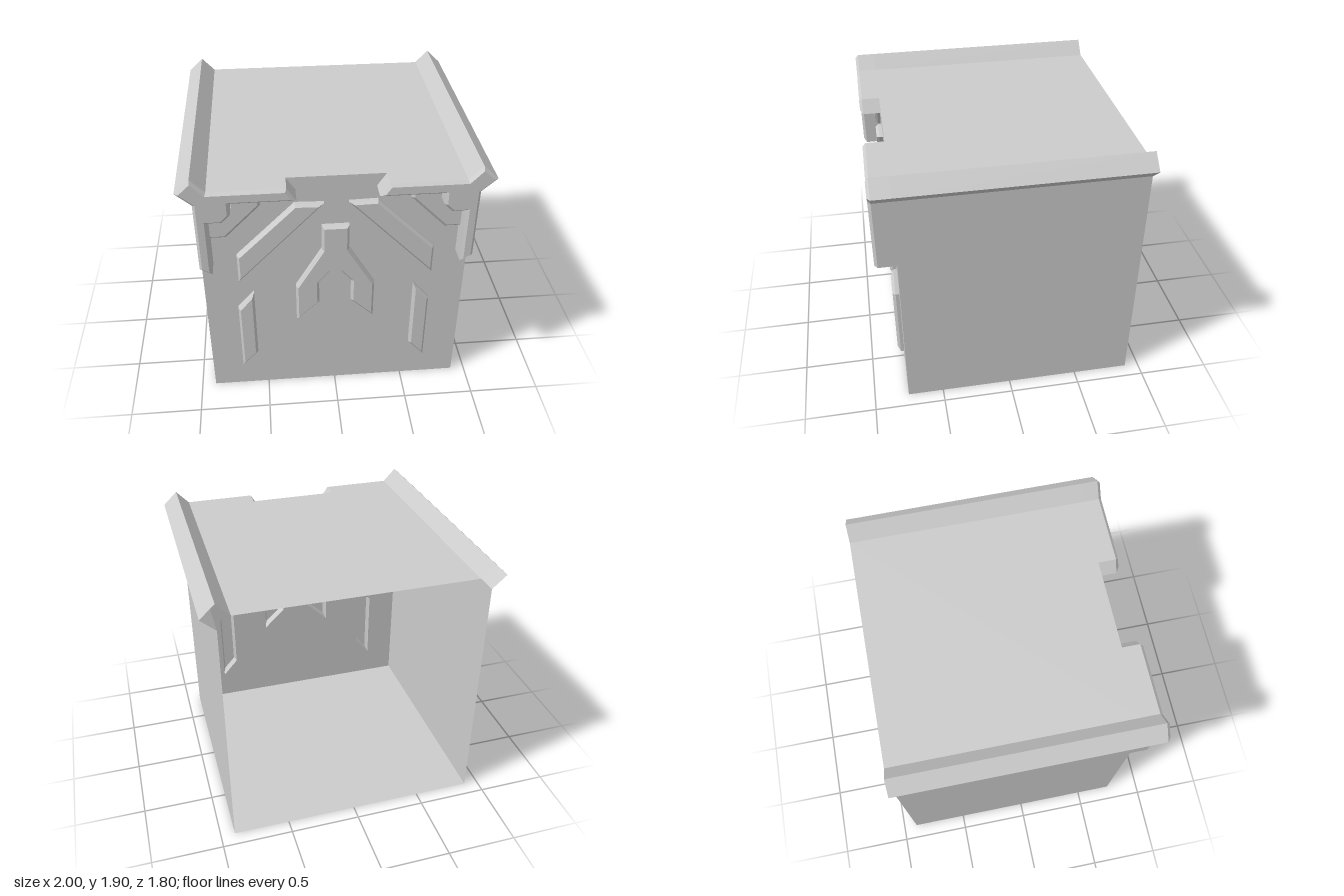
import * as THREE from 'three';

const material = new THREE.MeshStandardMaterial({ color: 0xcccccc, flatShading: true, side: THREE.DoubleSide });
const WALL = 0.755, BACK = -0.9;

const mirrored = (pts, cx = 0) => pts.map(([x, y]) => [2 * cx - x, y]).reverse();

// Points in counter-clockwise order
function ccw(pts) {
  const v = pts.map(([x, y]) => new THREE.Vector2(x, y));
  return THREE.ShapeUtils.isClockWise(v) ? v.reverse() : v;
}

// Mitred inward offset of a counter-clockwise outline
function inset(v, d) {
  const n = v.length;
  return v.map((p, i) => {
    const a = p.clone().sub(v[(i + n - 1) % n]).normalize();
    const b = v[(i + 1) % n].clone().sub(p).normalize();
    const na = new THREE.Vector2(-a.y, a.x), nb = new THREE.Vector2(-b.y, b.x);
    return na.clone().add(nb).multiplyScalar(d / (1 + na.dot(nb))).add(p);
  });
}

// Side faces joining a series of matching outlines, each { pts, z }
function loft(rings, closed = true) {
  const pos = [];
  for (let r = 0; r + 1 < rings.length; r++) {
    const A = rings[r], B = rings[r + 1], n = A.pts.length;
    for (let i = 0; i < (closed ? n : n - 1); i++) {
      const j = (i + 1) % n;
      const a = [A.pts[i].x, A.pts[i].y, A.z], b = [A.pts[j].x, A.pts[j].y, A.z];
      const c = [B.pts[j].x, B.pts[j].y, B.z], d = [B.pts[i].x, B.pts[i].y, B.z];
      pos.push(...a, ...b, ...c, ...a, ...c, ...d);
    }
  }
  const g = new THREE.BufferGeometry();
  g.setAttribute('position', new THREE.Float32BufferAttribute(pos, 3));
  g.computeVertexNormals();
  return g;
}

function addMesh(parent, name, geometry) {
  const m = new THREE.Mesh(geometry, material);
  m.name = name;
  parent.add(m);
  return m;
}

// Hollow raised panel: straight sides, bevelled rim, flat face
function addPanel(parent, name, outline, shoulder, face, bevel) {
  const g = new THREE.Group();
  g.name = name;
  const base = ccw(outline), top = inset(base, bevel);
  addMesh(g, name + 'Rim', loft([{ pts: base, z: WALL }, { pts: base, z: shoulder }, { pts: top, z: face }]));
  addMesh(g, name + 'Face', new THREE.ShapeGeometry(new THREE.Shape(top))).position.z = face;
  parent.add(g);
}

export function createModel() {
  const model = new THREE.Group();
  model.name = 'openBackedCrate';

  // Floor, sides and roof as thin sheets
  const strip = pts => {
    const v = pts.map(([x, y]) => new THREE.Vector2(x, y));
    return loft([{ pts: v, z: BACK }, { pts: v, z: WALL }], false);
  };
  addMesh(model, 'floorAndSides', strip([[-0.9, 1.72], [-0.9, 0], [0.9, 0], [0.9, 1.72]]));
  addMesh(model, 'roof', strip([[0.81, 1.81], [-0.81, 1.81]]));

  // Right-hand outlines, mirrored for the left
  const horn = [[-0.9, 1.72], [-1, 1.81], [-0.9, 1.905], [-0.81, 1.81]];
  const bracket = [[-0.26, 1.72], [-0.675, 1.72], [-0.675, 1.635], [-0.73, 1.58], [-0.82, 1.58],
    [-0.82, 1.17], [-0.9, 1.22], ...horn, [-0.32, 1.81]];
  const cornerPlate = [[-0.84, 1.39], [-0.72, 1.39], [-0.485, 1.63], [-0.485, 1.74],
    [-0.69, 1.74], [-0.69, 1.64], [-0.735, 1.595], [-0.84, 1.595]];
  const diagonal = [[-0.662, 1.01], [-0.662, 1.23], [-0.27, 1.625], [-0.08, 1.62]];
  const slat = [[-0.68, 0.21], [-0.68, 0.77], [-0.565, 0.905], [-0.565, 0.34]];

  // Central forked panel
  const half = [[-0.095, 1.44], [-0.095, 1.25], [-0.275, 0.94], [-0.275, 0.635],
    [-0.115, 0.79], [-0.115, 0.97], [-0.04, 1.06]];
  const fork = [...half, ...mirrored(half, -0.004)];

  const panels = [['forkPanel', fork]];
  for (const side of ['right', 'left']) {
    const put = (p, cx) => (side === 'left' ? mirrored(p, cx) : p);
    panels.push([side + 'DiagonalPanel', put(diagonal, 0)], [side + 'SlatPanel', put(slat, -0.01)]);
    addMesh(model, side + 'TopRail', strip(put(horn)));
    addPanel(model, side + 'CornerBracket', put(bracket), 0.88, 0.9, 0.018);
    addPanel(model, side + 'CornerPlate', put(cornerPlate), 0.775, 0.795, 0.02);
  }
  for (const [name, outline] of panels) addPanel(model, name, outline, 0.78, 0.8, 0.016);

  // Front wall, cut away behind the brackets and panels
  const edge = [[-0.9, 0], [-0.9, 1.22], [-0.82, 1.17], [-0.82, 1.39], [-0.72, 1.39],
    [-0.485, 1.63], [-0.485, 1.72], [-0.26, 1.72], [-0.32, 1.81]];
  const wall = new THREE.Shape(ccw([...edge, ...mirrored(edge)]));
  for (const [, outline] of panels) wall.holes.push(new THREE.Path(ccw(outline)));
  addMesh(model, 'frontWall', new THREE.ShapeGeometry(wall)).position.z = WALL;

  return model;
}
